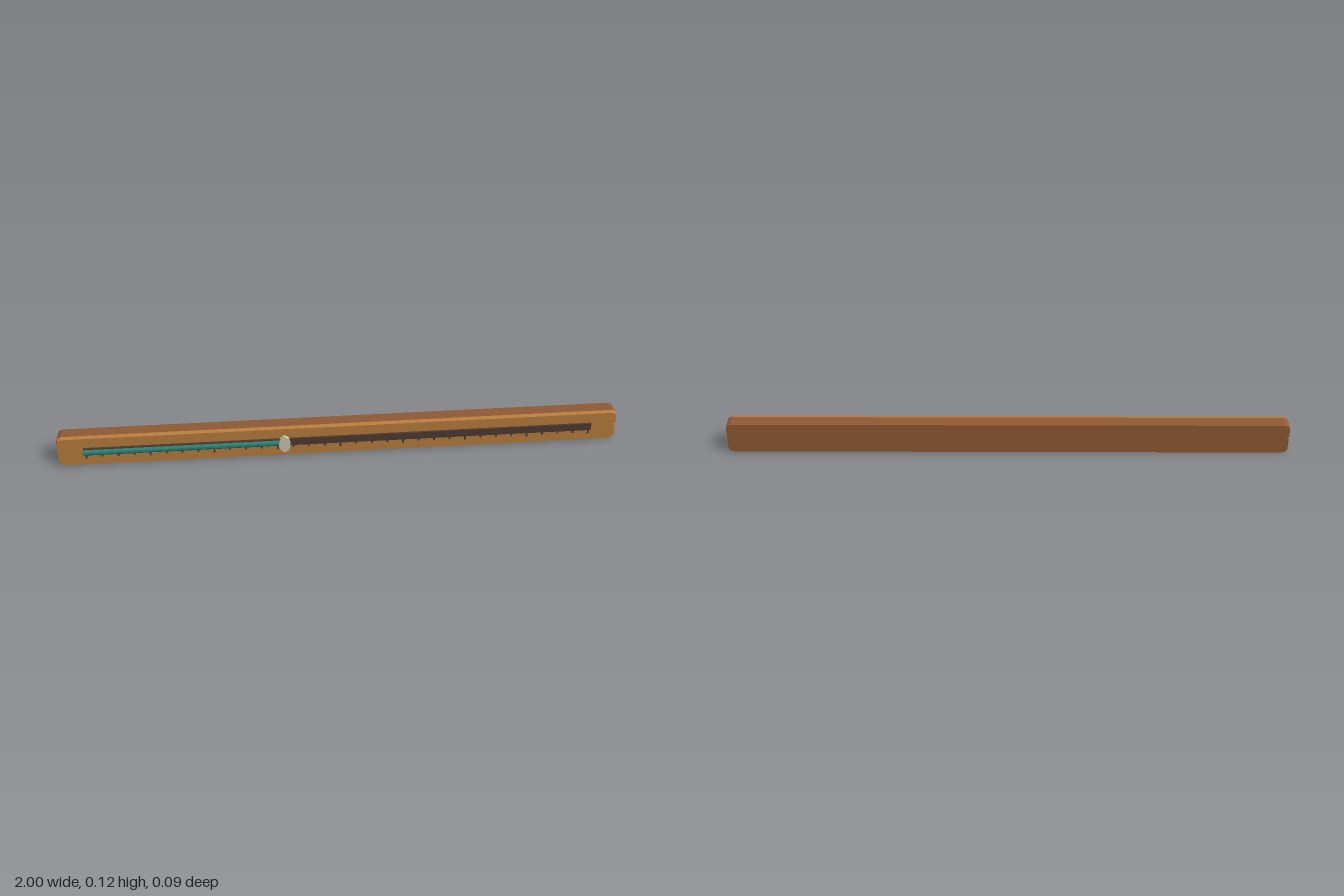
import * as THREE from 'three';

const material = (name, color) => {
  const m = new THREE.MeshStandardMaterial({ color });
  m.name = name;
  return m;
};

export function createModel() {
  const group = new THREE.Group();
  const frontWood = material('light wood', 0xb97d3e);
  const backWood = material('brown wood', 0x915a33);
  const dark = material('dark groove', 0x4d3a30);
  const teal = material('teal', 0x2f8478);
  const ivory = material('ivory', 0xcbc5b0);

  const add = (name, geometry, mat, x = 0, y = 0, z = 0, parent = group) => {
    const mesh = new THREE.Mesh(geometry, mat);
    mesh.name = name;
    mesh.position.set(x, y, z);
    parent.add(mesh);
    return mesh;
  };

  // Beam outline: cut corners and a small notch in each end
  const H = 0.118, mid = H / 2;
  const end = [[0.982, 0], [0.996, 0.006], [1, 0.017], [1, 0.061], [0.991, 0.066],
    [1, 0.071], [1, 0.101], [0.996, 0.112], [0.982, H]];
  const outline = [...end, ...end.map(([x, y]) => [-x, y]).reverse()];
  const shape = new THREE.Shape(outline.map(([x, y]) => new THREE.Vector2(x, y)));

  // Slab between two depths, drawn in by an inset at each depth
  const slab = (z0, z1, inset0, inset1) => {
    const g = new THREE.ExtrudeGeometry(shape, { depth: z1 - z0, bevelEnabled: false });
    const p = g.attributes.position;
    for (let i = 0; i < p.count; i++) {
      const k = p.getZ(i) > (z1 - z0) / 2 ? inset1 : inset0;
      p.setX(i, p.getX(i) * (1 - k));
      p.setY(i, mid + (p.getY(i) - mid) * (1 - k / mid));
    }
    g.translate(0, 0, z0);
    g.computeVertexNormals();
    return g;
  };
  add('backBeam', slab(-0.043, 0.005, 0.003, 0), backWood);
  add('frontPanel', slab(0.005, 0.02, 0, 0.003), frontWood);

  // Dark track along the front
  add('track', new THREE.BoxGeometry(1.815, 0.028, 0.008), dark, 0, 0.062, 0.023);

  // Scale marks below the track, every fourth one longer
  const scale = new THREE.Group();
  scale.name = 'scaleMarks';
  group.add(scale);
  for (let i = 0; i <= 32; i++) {
    const length = i % 4 === 0 ? 0.02 : 0.014;
    add('mark', new THREE.BoxGeometry(0.006, length, 0.004), dark,
      -0.9 + i * 0.05625, 0.05 - length / 2, 0.021, scale);
  }

  // Teal filled length, a flattened rod
  const rod = new THREE.CylinderGeometry(1, 1, 0.71, 8).toNonIndexed();
  rod.rotateY(Math.PI / 8);
  rod.rotateZ(Math.PI / 2);
  rod.scale(1, 0.0115, 0.007);
  rod.computeVertexNormals();
  add('fillRod', rod, teal, -0.555, 0.061, 0.028);

  // Eight-sided slider disc
  const disc = new THREE.CylinderGeometry(1, 1, 0.012, 8).toNonIndexed();
  disc.rotateX(Math.PI / 2);
  disc.scale(0.021, 0.035, 1);
  disc.computeVertexNormals();
  add('slider', disc, ivory, -0.2, 0.065, 0.039);

  return group;
}
